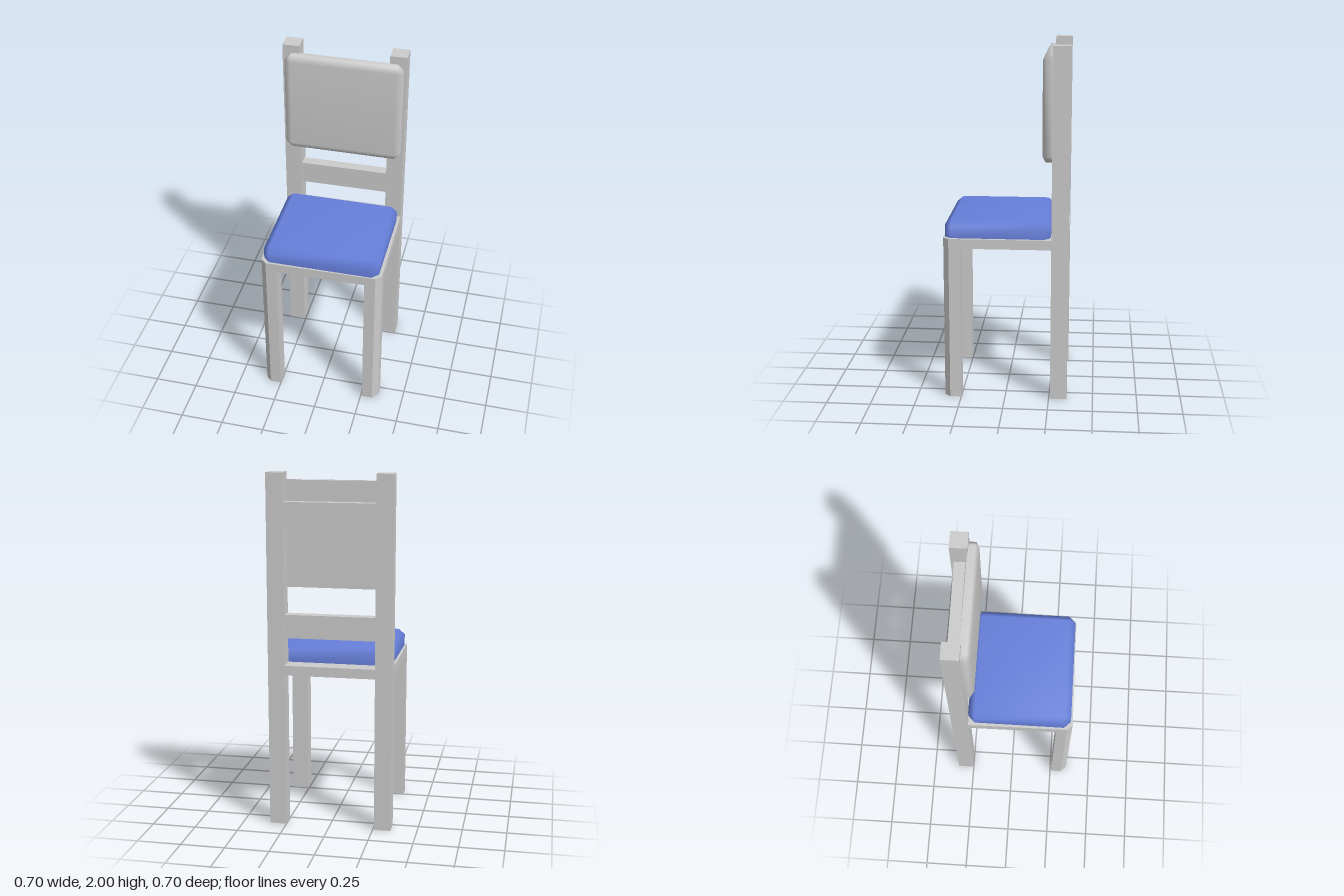
import * as THREE from 'three';
import { mergeVertices } from 'three/addons/utils/BufferGeometryUtils.js';

const paint = new THREE.MeshStandardMaterial({ color: 0xcccccc });
paint.name = 'light grey paint';
const fabric = new THREE.MeshStandardMaterial({ color: 0x667fdb });
fabric.name = 'blue fabric';

function add(parent, name, geometry, material, x = 0, y = 0, z = 0) {
  const mesh = new THREE.Mesh(geometry, material);
  mesh.name = name;
  mesh.position.set(x, y, z);
  parent.add(mesh);
  return mesh;
}

// Vertical prism from a plan outline of [x, z] points
function prism(points, height) {
  const shape = new THREE.Shape(points.map(([x, z]) => new THREE.Vector2(x, -z)));
  const geometry = new THREE.ExtrudeGeometry(shape, { depth: height, bevelEnabled: false });
  return geometry.rotateX(-Math.PI / 2);
}

// Soft pad: chamfered outline, bevelled up to a smaller top, flat underneath
function padGeometry(hw, hd, h, cut, bevel) {
  const ring = (y, c, inset) => {
    const w = hw - inset, d = hd - inset;
    return [[w - c, d], [w, d - c], [w, c - d], [w - c, -d],
      [c - w, -d], [-w, c - d], [-w, d - c], [c - w, d]].map(([x, z]) => [x, y, z]);
  };
  const rings = [ring(0, cut, 0), ring(h - bevel, cut, 0), ring(h, 0, cut)];
  const build = (triangles) => {
    let g = new THREE.BufferGeometry();
    g.setAttribute('position', new THREE.Float32BufferAttribute(triangles.flat(), 3));
    g = mergeVertices(g);
    g.computeVertexNormals();
    return g;
  };
  const soft = [], base = [];
  for (let i = 0; i < 8; i++) {
    const j = (i + 1) % 8;
    for (let k = 0; k < 2; k++) {
      const [a, b, c, d] = [rings[k][i], rings[k][j], rings[k + 1][j], rings[k + 1][i]];
      soft.push(a, b, c, a, c, d);
    }
    soft.push([0, h, 0], rings[2][i], rings[2][j]);
    base.push([0, 0, 0], rings[0][j], rings[0][i]);
  }
  return [build(soft), build(base)];
}

function pad(name, material, ...size) {
  const group = new THREE.Group();
  group.name = name;
  const [soft, base] = padGeometry(...size);
  add(group, name + 'Surface', soft, material);
  add(group, name + 'Base', base, material);
  return group;
}

export function createModel() {
  const model = new THREE.Group();
  model.name = 'chair';

  // Wooden frame, turned very slightly
  const frame = new THREE.Group();
  frame.name = 'frame';
  frame.rotation.y = 0.01;
  model.add(frame);

  const R = 0.349, T = 0.095, C = 0.032; // half width, leg thickness, corner cut
  const I = R - T;

  // Seat board, notched around the rear posts
  add(frame, 'seatBoard', prism([
    [-R, -I], [-I, -I], [-I, -R], [I, -R], [I, -I], [R, -I],
    [R, R - C], [R - C, R], [C - R, R], [-R, R - C],
  ], 0.055), paint, 0, 0.88, 0);

  for (const s of [1, -1]) {
    const side = s > 0 ? 'left' : 'right';
    // Front leg with its outer corner cut
    const leg = [[I, I], [R, I], [R, R - C], [R - C, R], [I, R]].map(([x, z]) => [s * x, z]);
    add(frame, side + 'FrontLeg', prism(leg, 0.88), paint);
    // Rear leg running up as the back post
    add(frame, side + 'RearPost', new THREE.BoxGeometry(T, 2, T), paint,
      s * (R - T / 2), 1, T / 2 - R);
  }

  // Back slats
  for (const [name, y] of [['lowerSlat', 1.155], ['upperSlat', 1.775]]) {
    add(frame, name, new THREE.BoxGeometry(2 * I, 0.132, 0.06), paint, 0, y, -0.301);
  }

  // Seat cushion
  const cushion = pad('seatCushion', fabric, 0.333, 0.295, 0.095, 0.037, 0.03);
  cushion.position.set(-0.001, 0.935, 0.044);
  model.add(cushion);

  // Back pad, standing upright and facing forward
  const backPad = pad('backPad', paint, 0.333, 0.295, 0.058, 0.035, 0.018);
  backPad.rotation.x = Math.PI / 2;
  backPad.position.set(-0.001, 1.66, -0.26);
  model.add(backPad);

  return model;
}
